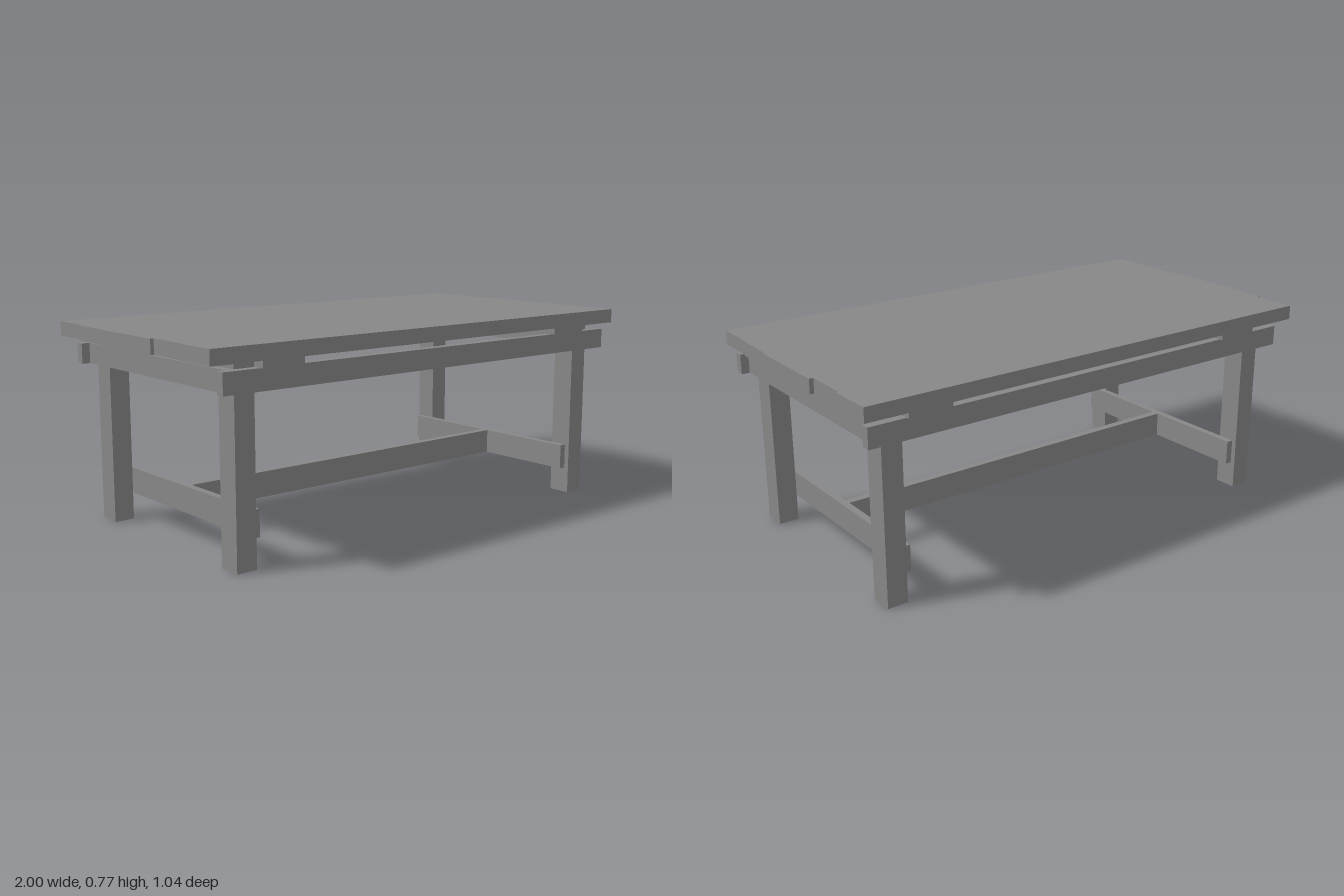
import * as THREE from 'three';

export function createModel() {
  const table = new THREE.Group();
  table.name = 'table';
  const wood = new THREE.MeshStandardMaterial({ color: 0x878787, flatShading: true });

  // Board spanning the given [min, max] range on each axis
  function board(name, [x0, x1], [y0, y1], [z0, z1]) {
    const mesh = new THREE.Mesh(new THREE.BoxGeometry(x1 - x0, y1 - y0, z1 - z0), wood);
    mesh.position.set((x0 + x1) / 2, (y0 + y1) / 2, (z0 + z1) / 2);
    mesh.name = name;
    table.add(mesh);
  }

  // The frame sits slightly off the centre of the uneven planks
  const cx = 0.019;
  const span = (side, inner, outer) =>
    side > 0 ? [cx + inner, cx + outer] : [cx - outer, cx - inner];
  const mirror = (side, inner, outer) => (side > 0 ? [inner, outer] : [-outer, -inner]);

  // Tabletop planks with staggered ends, back to front; the middle one is double width
  const planks = [
    { x: [-0.978, 0.993], z: [-0.52, -0.347] },
    { x: [-0.993, 0.984], z: [-0.347, -0.174] },
    { x: [-1, 1], z: [-0.174, 0.174] },
    { x: [-0.987, 0.993], z: [0.174, 0.347] },
    { x: [-0.995, 0.987], z: [0.347, 0.52] },
  ];
  for (const { x, z } of planks) board('tabletopPlank', x, [0.714, 0.769], z);

  for (const side of [-1, 1]) {
    // Legs
    for (const depth of [-1, 1]) {
      board('leg', span(side, 0.802, 0.882), [0, 0.714], mirror(depth, 0.365, 0.455));
    }
    // Wide batten under the planks, beside the legs
    board('batten', span(side, 0.63, 0.801), [0.686, 0.714], [-0.503, 0.503]);
    // End apron on the outer faces of the legs
    board('endApron', span(side, 0.882, 0.915), [0.609, 0.686], [-0.455, 0.455]);
    // Long apron on the front or back faces of the legs
    board('longApron', [cx - 0.947, cx + 0.947], [0.609, 0.686], mirror(side, 0.455, 0.489));
    // End stretcher on the inner faces of the legs
    board('endStretcher', span(side, 0.774, 0.802), [0.104, 0.203], [-0.435, 0.435]);
  }

  // Long stretcher joining the two end stretchers
  board('longStretcher', [cx - 0.774, cx + 0.774], [0.104, 0.203], [-0.016, 0.016]);

  return table;
}
